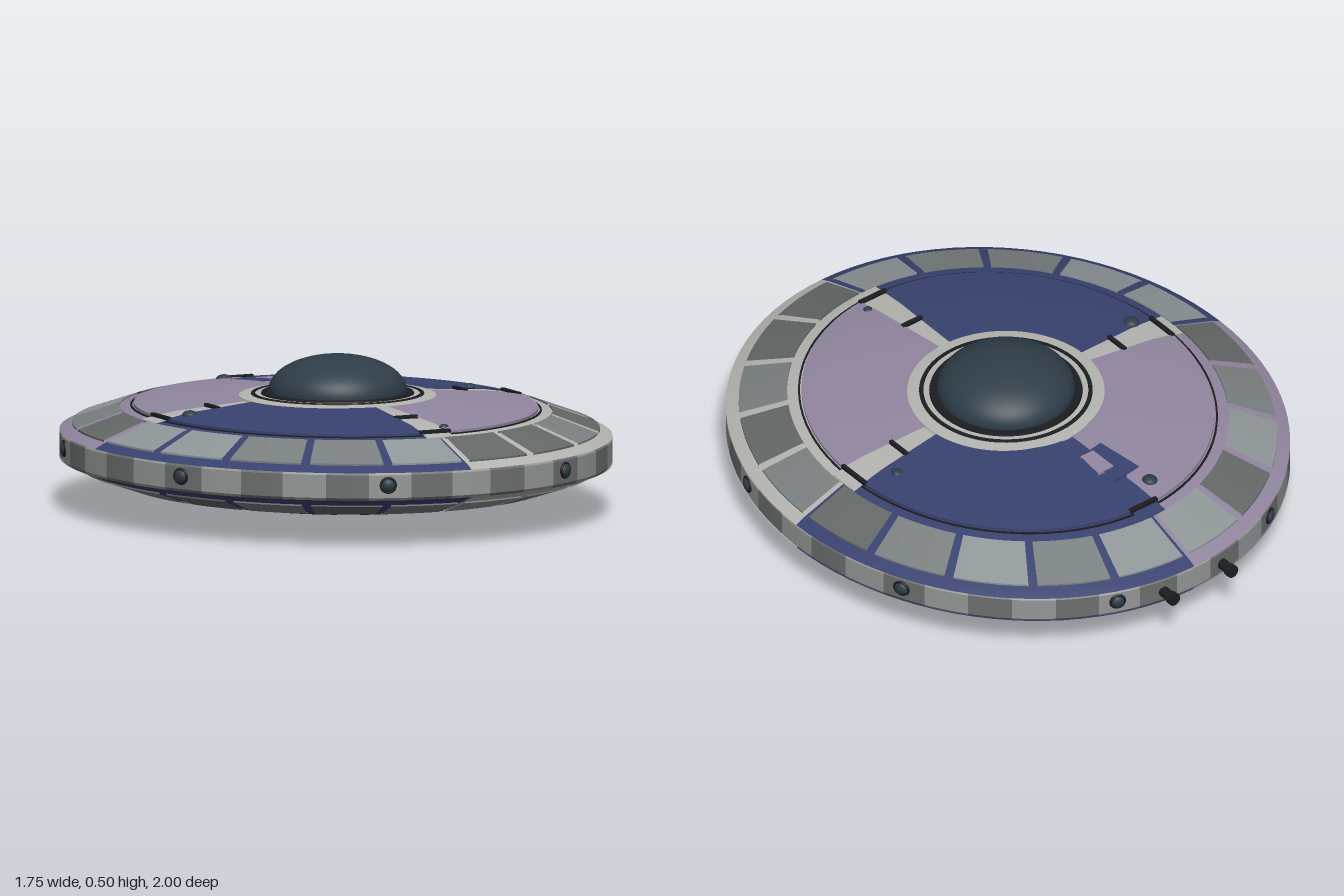
import * as THREE from 'three';
import { toCreasedNormals } from 'three/addons/utils/BufferGeometryUtils.js';

const TAU = Math.PI * 2, RAD = Math.PI / 180;
const mats = {};
const mat = (color) => (mats[color] ??= new THREE.MeshStandardMaterial({ color, side: THREE.DoubleSide }));
const BLUE = 0x38426f, PURPLE = 0x91869f, GREY = 0xb4b4b0, DARK = 0x1b1d20, GLASS = 0x2e3d48;
const PANEL = [0x646867, 0x7a7f80, 0x8f9698];

// Hull height by radius, from the rim to the middle
const TOP = [[0.875, 0.25], [0.845, 0.265], [0.68, 0.325], [0.56, 0.345], [0.3, 0.365], [0, 0.37]];
const BOTTOM = [[0.875, 0.16], [0.84, 0.145], [0.68, 0.09], [0.52, 0.062], [0.3, 0.052], [0, 0.05]];

function heightAt(profile, r) {
  for (let i = 1; i < profile.length; i++) {
    const [ra, ya] = profile[i - 1], [rb, yb] = profile[i];
    if (r >= rb) return ya + (yb - ya) * (ra - r) / (ra - rb);
  }
  return profile.at(-1)[1];
}

function lathe(name, pts, color, a0 = 0, a1 = TAU) {
  const segs = Math.max(2, Math.ceil((a1 - a0) / TAU * 96));
  const geo = new THREE.LatheGeometry(pts.map(([r, y]) => new THREE.Vector2(r, y)), segs, a0, a1 - a0);
  const mesh = new THREE.Mesh(toCreasedNormals(geo, 0.5), mat(color));
  mesh.name = name;
  return mesh;
}

// Plate lying on the hull between two radii and two angles (angle 0 = +z, turning to +x)
function plate(name, profile, r0, r1, a0, a1, lift, color) {
  const s = profile === TOP ? 1 : -1;
  const radii = [r1, ...profile.map((p) => p[0]).filter((r) => r > r0 && r < r1), r0];
  const pts = radii.map((r) => [r, heightAt(profile, r) + s * lift]);
  if (lift) {
    pts.unshift([r1, heightAt(profile, r1) - s * 0.006]);
    pts.push([r0, heightAt(profile, r0) - s * 0.006]);
  }
  if (s < 0) pts.reverse();
  return lathe(name, pts, color, a0, a1);
}

function part(name, geo, color, x, y, z) {
  const mesh = new THREE.Mesh(geo, mat(color));
  mesh.name = name;
  mesh.position.set(x, y, z);
  return mesh;
}

export function createModel() {
  const model = new THREE.Group();
  model.name = 'saucer';

  // Oval hull
  const hull = new THREE.Group();
  hull.name = 'hull';
  hull.scale.z = 1.112;
  hull.position.z = 0.025;
  model.add(hull);

  // Quarters of the hull with their sector plates
  const base = [GREY, BLUE, PURPLE, BLUE], sector = [PURPLE, BLUE, PURPLE, BLUE];
  for (let q = 0; q < 4; q++) {
    const a0 = q * TAU / 4, a1 = a0 + TAU / 4;
    hull.add(plate('upperHull', TOP, 0, 0.875, a0, a1, 0, base[q]));
    hull.add(plate('lowerHull', BOTTOM, 0, 0.875, a0, a1, 0, base[q]));
    hull.add(plate('sectorPlate', TOP, 0.28, 0.64, a0 + 0.075, a1 - 0.075, 0.009, sector[q]));

    // Strip between the sectors, with dark clamps across it
    hull.add(plate('spokeStrip', TOP, 0.26, 0.68, a0 - 0.075, a0 + 0.075, 0.004, q === 2 ? BLUE : GREY));
    for (const r of q === 2 ? [0.635] : [0.635, 0.45]) {
      const clamp = part('clamp', new THREE.BoxGeometry(r > 0.5 ? 0.11 : 0.08, 0.012, 0.014), DARK,
        r * Math.sin(a0), heightAt(TOP, r) + 0.008, r * Math.cos(a0));
      clamp.rotation.y = a0;
      hull.add(clamp);
    }
  }

  // Rings of grey plates above and below
  const tones = '00101012122021022112';
  const step = TAU / 20;
  for (let i = 0; i < 20; i++) {
    const a0 = i * step + 0.017, a1 = (i + 1) * step - 0.017;
    hull.add(plate('upperPanel', TOP, 0.685, 0.835, a0, a1, 0.006, PANEL[+tones[i]]));
    hull.add(plate('lowerPanel', BOTTOM, 0.67, 0.81, a0, a1, 0.005, PANEL[+tones[(i + 7) % 20]]));
  }
  hull.add(plate('upperSeam', TOP, 0.645, 0.651, 0, TAU, 0.003, DARK));
  hull.add(plate('lowerSeam', BOTTOM, 0.645, 0.655, 0, TAU, 0.003, DARK));

  // Upright rim band in alternating greys
  const rim = [[0.868, 0.158], [0.875, 0.168], [0.875, 0.243], [0.868, 0.252]];
  for (let i = 0; i < 40; i++) {
    hull.add(lathe('rimBand', rim, i % 2 ? 0x6d6f6f : 0x949796, (i - 0.5) * TAU / 40, (i + 0.5) * TAU / 40));
  }

  // Portholes around the rim
  for (let i = 0; i < 8; i++) {
    const port = new THREE.Group();
    port.name = 'porthole';
    const ring = part('portholeRing', new THREE.TorusGeometry(0.023, 0.005, 8, 20), DARK, 0, 0, 0);
    const lens = part('portholeLens', new THREE.SphereGeometry(0.022, 16, 10), GLASS, 0, 0, 0);
    lens.scale.z = 0.6;
    port.add(ring, lens);
    const a = 26.5 * RAD + i * TAU / 8;
    port.position.set(0.876 * Math.sin(a), 0.21, 0.876 * Math.cos(a));
    port.rotation.y = a;
    hull.add(port);
  }

  // Dark recesses and rings of the underside
  for (const [from, to] of [[-6, 36], [54, 95], [130, 166], [196, 246], [254, 318]]) {
    hull.add(plate('bellyRecess', BOTTOM, 0.45, 0.62, (225 - to) * RAD, (225 - from) * RAD, 0.003, 0x0a0a0a));
  }
  hull.add(plate('bellyRing', BOTTOM, 0.32, 0.43, 0, TAU, 0.004, 0x7c7c7a));
  hull.add(plate('emitterSeat', BOTTOM, 0.19, 0.32, 0, TAU, 0.006, DARK));

  // Patch on the back strip
  const patch = plate('backPatch', TOP, 0.36, 0.51, Math.PI - 0.02, Math.PI + 0.2, 0.011, BLUE);
  const inset = plate('backPatchInset', TOP, 0.37, 0.46, Math.PI - 0.07, Math.PI + 0.07, 0.014, PURPLE);
  hull.add(patch, inset);

  // Small beacons on the top
  for (const [x, z, r] of [[-0.09, -0.6, 0.026], [-0.565, 0.095, 0.027], [0.53, -0.065, 0.02], [0.06, 0.68, 0.016]]) {
    const y = heightAt(TOP, Math.hypot(x, (z - 0.025) / 1.112)) + 0.006;
    const beacon = part('beacon', new THREE.SphereGeometry(r, 16, 10), GLASS, x, y, z);
    beacon.scale.y = 0.6;
    model.add(beacon);
  }

  // Round collar and dome
  const crown = new THREE.Group();
  crown.name = 'crown';
  crown.position.z = 0.036;
  crown.add(
    lathe('collar', [[0.325, 0.355], [0.32, 0.374], [0.285, 0.378], [0.25, 0.38], [0.24, 0.36]], GREY),
    lathe('collarSeam', [[0.282, 0.376], [0.28, 0.381], [0.268, 0.382], [0.266, 0.376]], DARK),
    lathe('domeSeat', [[0.25, 0.37], [0.246, 0.384], [0.21, 0.386]], DARK),
  );
  const dome = part('dome', new THREE.SphereGeometry(0.224, 48, 16, 0, TAU, 0, Math.PI * 0.55), GLASS, 0, 0.39, 0);
  dome.scale.y = 0.115 / 0.224;
  crown.add(dome);
  model.add(crown);

  // Glowing emitter below
  const emitter = part('emitter', new THREE.SphereGeometry(0.2, 40, 12, 0, TAU, Math.PI / 2, Math.PI / 2), 0x1f4f63, 0, 0.045, 0.05);
  emitter.scale.set(1, 0.225, 0.87);
  model.add(emitter);

  // Pair of exhaust nozzles at the back
  for (const x of [-0.12, 0.12]) {
    const nozzle = part('exhaustNozzle', new THREE.CylinderGeometry(0.018, 0.018, 0.08, 16), DARK, x, 0.2, -0.955);
    const lip = part('exhaustLip', new THREE.CylinderGeometry(0.022, 0.022, 0.02, 16), DARK, x, 0.2, -0.988);
    nozzle.rotation.x = lip.rotation.x = Math.PI / 2;
    model.add(nozzle, lip);
  }

  return model;
}
